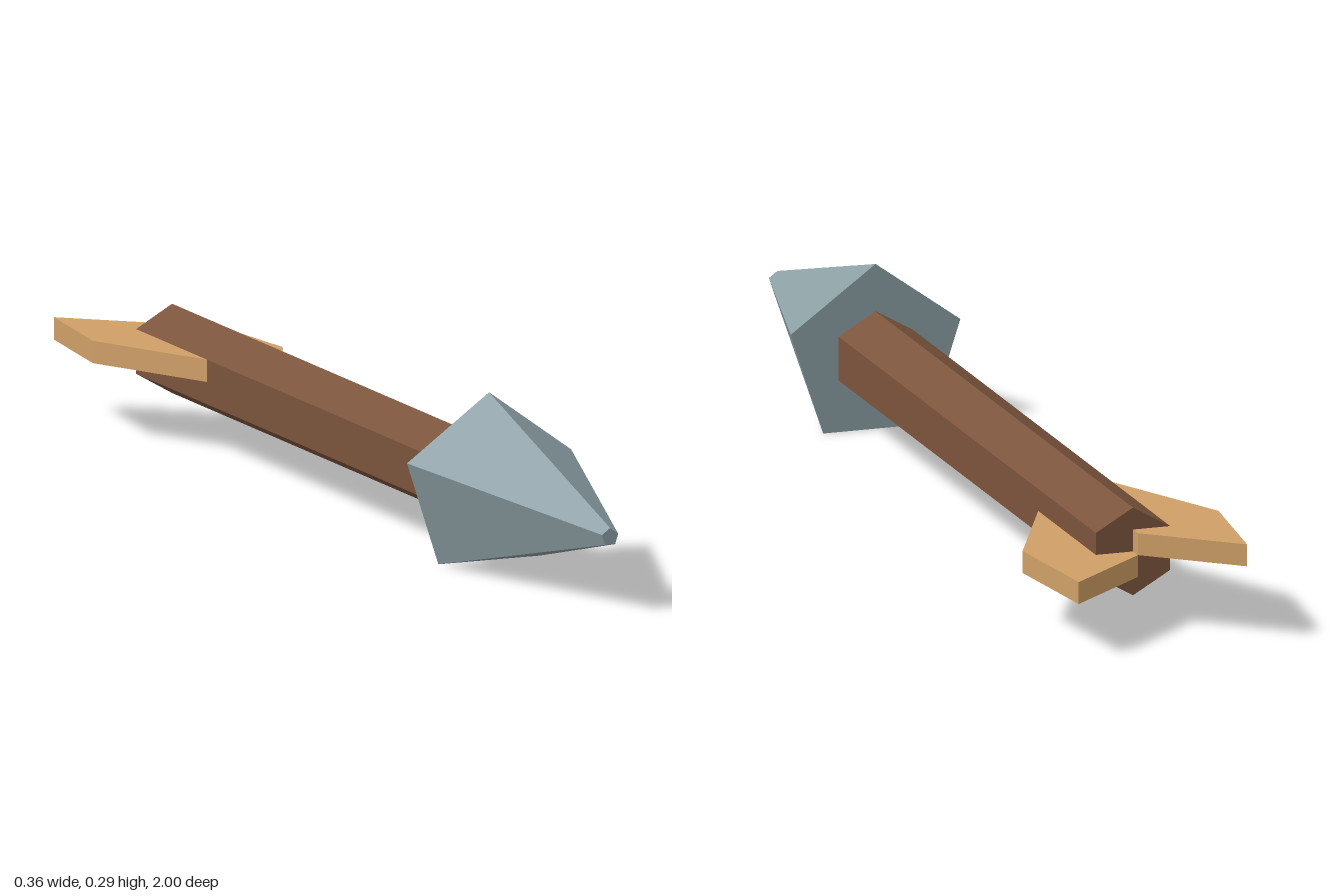
import * as THREE from 'three';

const AXIS_Y = 0.131; // height of the arrow's long axis

function material(name, color) {
  const m = new THREE.MeshStandardMaterial({ color });
  m.name = name;
  return m;
}

// Faceted prism or cone along z, with one corner pointing up
function prism(rFront, rBack, zBack, zFront, sides) {
  const g = new THREE.CylinderGeometry(rFront, rBack, zFront - zBack, sides, 1, false, Math.PI);
  g.rotateX(Math.PI / 2);
  g.translate(0, 0, (zFront + zBack) / 2);
  const flat = g.toNonIndexed();
  flat.computeVertexNormals();
  return flat;
}

function addPart(parent, name, geometry, mat) {
  const mesh = new THREE.Mesh(geometry, mat);
  mesh.name = name;
  parent.add(mesh);
  return mesh;
}

export function createModel() {
  const steel = material('blueGreySteel', 0x8c9fa4);
  const wood = material('brownWood', 0x7b543c);
  const feather = material('tanFeather', 0xcf9f67);

  const arrow = new THREE.Group();
  arrow.name = 'arrow';
  const body = new THREE.Group();
  body.name = 'arrowBody';
  body.position.y = AXIS_Y;
  arrow.add(body);

  // Five-sided head with a blunt tip, and six-sided shaft
  addPart(body, 'arrowHead', prism(0.016, 0.162, 0.49, 1, 5), steel);
  addPart(body, 'shaft', prism(0.078, 0.078, -0.845, 0.49, 6), wood);

  // Fletching outline as (x, -z), from the axis outwards
  const outline = new THREE.Shape([
    [0, 0.403], [0.178, 0.78], [0.153, 1], [0, 0.87],
  ].map(([x, s]) => new THREE.Vector2(x, s)));
  const thickness = 0.039;
  const finGeometry = new THREE.ExtrudeGeometry(outline, { depth: thickness, bevelEnabled: false });
  finGeometry.rotateX(-Math.PI / 2);
  finGeometry.translate(0, -thickness, 0);

  // The second fin is the first turned half way round the shaft
  addPart(body, 'leftFletching', finGeometry, feather);
  addPart(body, 'rightFletching', finGeometry, feather).rotation.z = Math.PI;

  return arrow;
}
